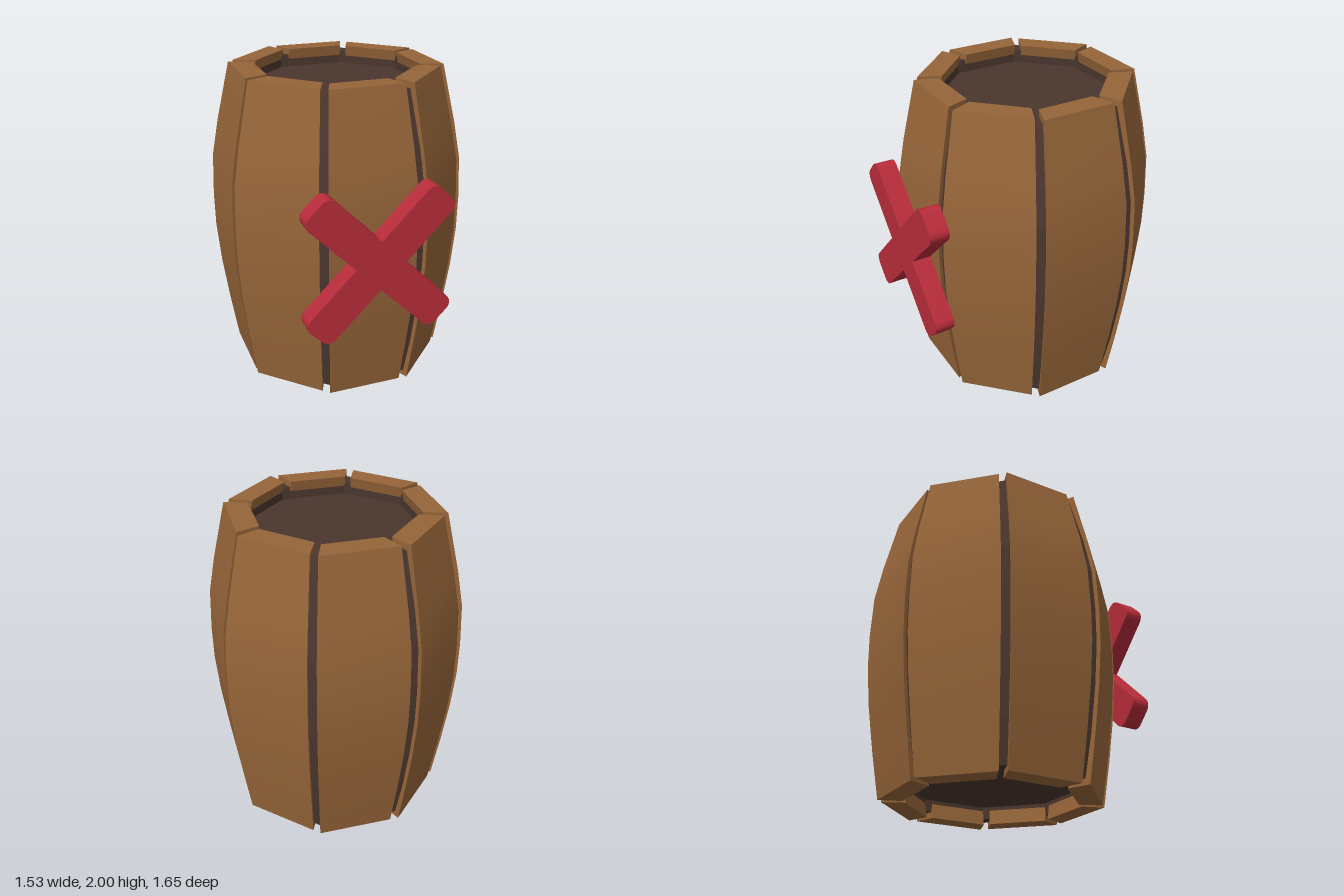
import * as THREE from 'three';
import { toCreasedNormals } from 'three/addons/utils/BufferGeometryUtils.js';

const SIDES = 8;
const CENTER_Z = -0.063;
// Barrel bulge: [height, distance from the axis to the outer face]
const PROFILE = [
  [0, 0.65], [0.3, 0.697], [0.6, 0.737], [0.87, 0.76],
  [1.1, 0.763], [1.38, 0.752], [1.62, 0.71], [2, 0.627],
];

// One curved plank, wedge-shaped towards the barrel's axis
function staveGeometry() {
  const rows = PROFILE.length - 1;
  const thickness = 0.14, spread = 0.373, shift = -0.03;
  const geometry = new THREE.BoxGeometry(1, 1, 1, 1, rows, 1);
  const p = geometry.attributes.position;
  for (let i = 0; i < p.count; i++) {
    const [y, outer] = PROFILE[Math.round((p.getY(i) + 0.5) * rows)];
    const r = p.getZ(i) > 0 ? outer : outer - thickness;
    p.setXYZ(i, Math.sign(p.getX(i)) * spread * r + shift, y, r);
  }
  geometry.computeVertexNormals();
  return geometry;
}

// Dark octagonal body filling the gaps, with recessed lid and base
function coreGeometry() {
  const inset = 0.025, wall = 0.125;
  const corner = 1 / Math.cos(Math.PI / SIDES);
  const bottom = PROFILE[0][1] - wall;
  const top = PROFILE[PROFILE.length - 1][1] - wall;
  const outline = [[0, 0.12], [bottom, 0.12], [bottom, 0.04]];
  for (const [y, r] of PROFILE) {
    outline.push([r - inset, THREE.MathUtils.clamp(y, 0.04, 1.96)]);
  }
  outline.push([top, 1.96], [top, 1.88], [0, 1.88]);
  const points = outline.map(([r, y]) => new THREE.Vector2(r * corner, y));
  return new THREE.LatheGeometry(points, SIDES, Math.PI / SIDES);
}

// Cross with four round-cornered arms
function crossGeometry() {
  const length = 0.571, half = 0.111, round = 0.06, depth = 0.125;
  const shape = new THREE.Shape();
  for (let arm = 0; arm < 4; arm++) {
    const a = Math.PI / 4 + arm * Math.PI / 2;
    const at = (u, v) => [
      u * Math.cos(a) - v * Math.sin(a),
      u * Math.sin(a) + v * Math.cos(a),
    ];
    if (arm === 0) shape.moveTo(...at(half, -half));
    else shape.lineTo(...at(half, -half));
    shape.lineTo(...at(length - round, -half));
    shape.absarc(...at(length - round, -half + round), round, a - Math.PI / 2, a, false);
    shape.absarc(...at(length - round, half - round), round, a, a + Math.PI / 2, false);
  }
  shape.closePath();
  const geometry = new THREE.ExtrudeGeometry(shape, { depth, bevelEnabled: false, curveSegments: 6 });
  return toCreasedNormals(geometry, Math.PI / 6);
}

export function createModel() {
  const model = new THREE.Group();
  model.name = 'barrel';
  const wood = new THREE.MeshStandardMaterial({ color: 0x966539 });
  const dark = new THREE.MeshStandardMaterial({ color: 0x4a362e, flatShading: true });
  const red = new THREE.MeshStandardMaterial({ color: 0xb82c3a });

  // Ring of staves
  const staves = new THREE.Group();
  staves.name = 'staves';
  staves.position.z = CENTER_Z;
  const plank = staveGeometry();
  for (let i = 0; i < SIDES; i++) {
    const stave = new THREE.Mesh(plank, wood);
    stave.name = `stave${i + 1}`;
    stave.rotation.y = i * 2 * Math.PI / SIDES;
    staves.add(stave);
  }
  model.add(staves);

  // Inner body
  const core = new THREE.Mesh(coreGeometry(), dark);
  core.name = 'innerBody';
  core.position.z = CENTER_Z;
  model.add(core);

  // Cross on the front
  const cross = new THREE.Mesh(crossGeometry(), red);
  cross.name = 'frontCross';
  cross.position.set(-0.033, 0.995, 0.7);
  model.add(cross);

  return model;
}
